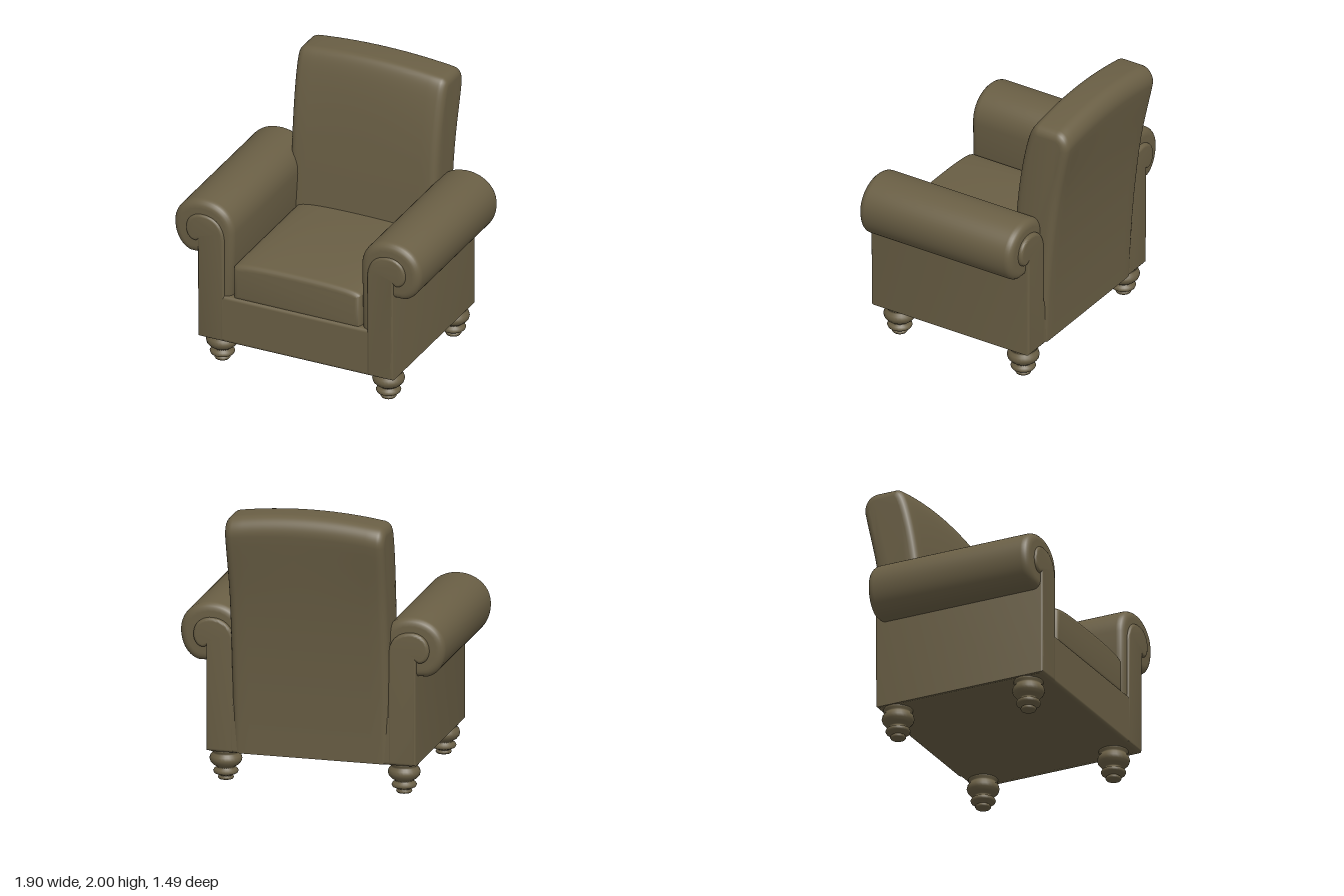
import * as THREE from 'three';
import { mergeVertices, toCreasedNormals } from 'three/addons/utils/BufferGeometryUtils.js';
import { RoundedBoxGeometry } from 'three/addons/geometries/RoundedBoxGeometry.js';

const fabric = new THREE.MeshStandardMaterial({ color: 0x6a5f45 });
fabric.name = 'olive brown';

// Extrude a shape between two depths, rounding the rims without growing the outline
function softExtrude(shape, from, to, radius, steps = 1) {
  const geo = new THREE.ExtrudeGeometry(shape, {
    depth: to - from - 2 * radius, steps, curveSegments: 14,
    bevelThickness: radius, bevelSize: radius, bevelOffset: -radius, bevelSegments: 5,
  });
  geo.translate(0, 0, from + radius);
  return geo;
}

// Weld, then smooth everything but the sharp edges
function smooth(geo, angle = 0.75) {
  geo.deleteAttribute('uv');
  geo.deleteAttribute('normal');
  return toCreasedNormals(mergeVertices(geo, 1e-4), angle);
}

function add(parent, name, geo) {
  const mesh = new THREE.Mesh(geo, fabric);
  mesh.name = name;
  parent.add(mesh);
  return mesh;
}

// Mirror a geometry across x = 0, keeping faces outward
function mirrorX(geo) {
  const g = geo.clone().scale(-1, 1, 1);
  for (const attr of Object.values(g.attributes)) {
    for (let i = 0; i < attr.count; i += 3) {
      for (let k = 0; k < 3; k++) {
        const a = attr.getComponent(i + 1, k);
        attr.setComponent(i + 1, k, attr.getComponent(i + 2, k));
        attr.setComponent(i + 2, k, a);
      }
    }
  }
  return g;
}

// Arm section with its outward roll
function armGeometry() {
  const s = new THREE.Shape();
  s.moveTo(0.74, 0.3);
  s.lineTo(0.74, 0.86);
  s.lineTo(0.82, 0.86);
  s.bezierCurveTo(0.9, 0.88, 0.95, 0.97, 0.95, 1.07);
  s.bezierCurveTo(0.95, 1.2, 0.84, 1.28, 0.72, 1.28);
  s.bezierCurveTo(0.59, 1.28, 0.49, 1.2, 0.49, 1.06);
  s.lineTo(0.5, 0.58);
  s.lineTo(0.56, 0.45);
  s.lineTo(0.56, 0.3);
  s.closePath();
  return smooth(softExtrude(s, -0.53, 0.725, 0.055));
}

// Side panel whose scrolled ends stand proud of the roll, front and rear
function scrollGeometry() {
  const s = new THREE.Shape();
  s.moveTo(0.55, 0.225);
  s.lineTo(0.752, 0.225);
  s.lineTo(0.752, 0.98);
  s.bezierCurveTo(0.77, 0.95, 0.84, 0.97, 0.845, 1.05);
  s.bezierCurveTo(0.85, 1.13, 0.79, 1.18, 0.72, 1.18);
  s.bezierCurveTo(0.62, 1.18, 0.555, 1.12, 0.55, 1.0);
  s.closePath();
  return smooth(softExtrude(s, -0.56, 0.742, 0.022));
}

// Raked back: side profile (z, y) swept across the width, then crowned
function backGeometry() {
  const s = new THREE.Shape();
  s.moveTo(-0.56, 0.225);
  s.lineTo(-0.25, 0.225);
  s.lineTo(-0.28, 0.8);
  s.bezierCurveTo(-0.31, 1.2, -0.34, 1.6, -0.4, 1.85);
  s.bezierCurveTo(-0.425, 1.95, -0.45, 2, -0.5, 2);
  s.lineTo(-0.64, 2);
  s.bezierCurveTo(-0.7, 2, -0.75, 1.94, -0.74, 1.86);
  s.bezierCurveTo(-0.69, 1.55, -0.59, 1.1, -0.56, 0.225);
  const geo = softExtrude(s, -0.57, 0.57, 0.055, 14);
  geo.rotateY(-Math.PI / 2);
  const p = geo.attributes.position;
  for (let i = 0; i < p.count; i++) {
    const t = (p.getX(i) / 0.57) ** 2;
    const y = p.getY(i);
    const high = THREE.MathUtils.smoothstep(y, 1.3, 2);
    p.setY(i, y - 0.045 * t * high);
    p.setZ(i, p.getZ(i) - 0.012 * t * high);
    p.setX(i, p.getX(i) * (0.99 + 0.015 * high));
  }
  return smooth(geo);
}

// Loose cushion with a gently domed top
function cushionGeometry() {
  const s = new THREE.Shape();
  s.moveTo(-0.49, 0.56);
  s.lineTo(0.49, 0.56);
  s.lineTo(0.49, 0.81);
  s.bezierCurveTo(0.48, 0.85, 0.3, 0.86, 0, 0.86);
  s.bezierCurveTo(-0.3, 0.86, -0.48, 0.85, -0.49, 0.81);
  s.closePath();
  return smooth(softExtrude(s, -0.35, 0.725, 0.04));
}

// Turned bun foot
function footGeometry() {
  const profile = [
    [0, 0.005], [0.05, 0.005], [0.056, 0.015], [0.05, 0.027], [0.042, 0.032],
    [0.06, 0.038], [0.082, 0.048], [0.088, 0.062], [0.08, 0.076], [0.062, 0.086],
    [0.066, 0.096], [0.09, 0.11], [0.108, 0.13], [0.114, 0.152], [0.108, 0.174],
    [0.094, 0.19], [0.092, 0.2], [0.102, 0.21], [0.104, 0.225], [0.09, 0.24],
  ].map(([r, y]) => new THREE.Vector2(r, y));
  return new THREE.LatheGeometry(profile, 28);
}

export function createModel() {
  const chair = new THREE.Group();
  chair.name = 'armchair';

  // Upholstered base
  const base = add(chair, 'base', new RoundedBoxGeometry(1.48, 0.36, 1.295, 4, 0.025));
  base.position.set(0, 0.4, 0.09);

  add(chair, 'seatCushion', cushionGeometry());
  add(chair, 'backrest', backGeometry());

  // Rolled arms and scroll panels
  const arm = armGeometry();
  const scroll = scrollGeometry();
  add(chair, 'leftArm', arm);
  add(chair, 'rightArm', mirrorX(arm));
  add(chair, 'leftScrollPanel', scroll);
  add(chair, 'rightScrollPanel', mirrorX(scroll));

  // Four feet
  const foot = footGeometry();
  for (const [side, x] of [['left', 0.64], ['right', -0.64]]) {
    for (const [end, z] of [['Front', 0.575], ['Rear', -0.44]]) {
      add(chair, side + end + 'Foot', foot).position.set(x, 0, z);
    }
  }
  return chair;
}
